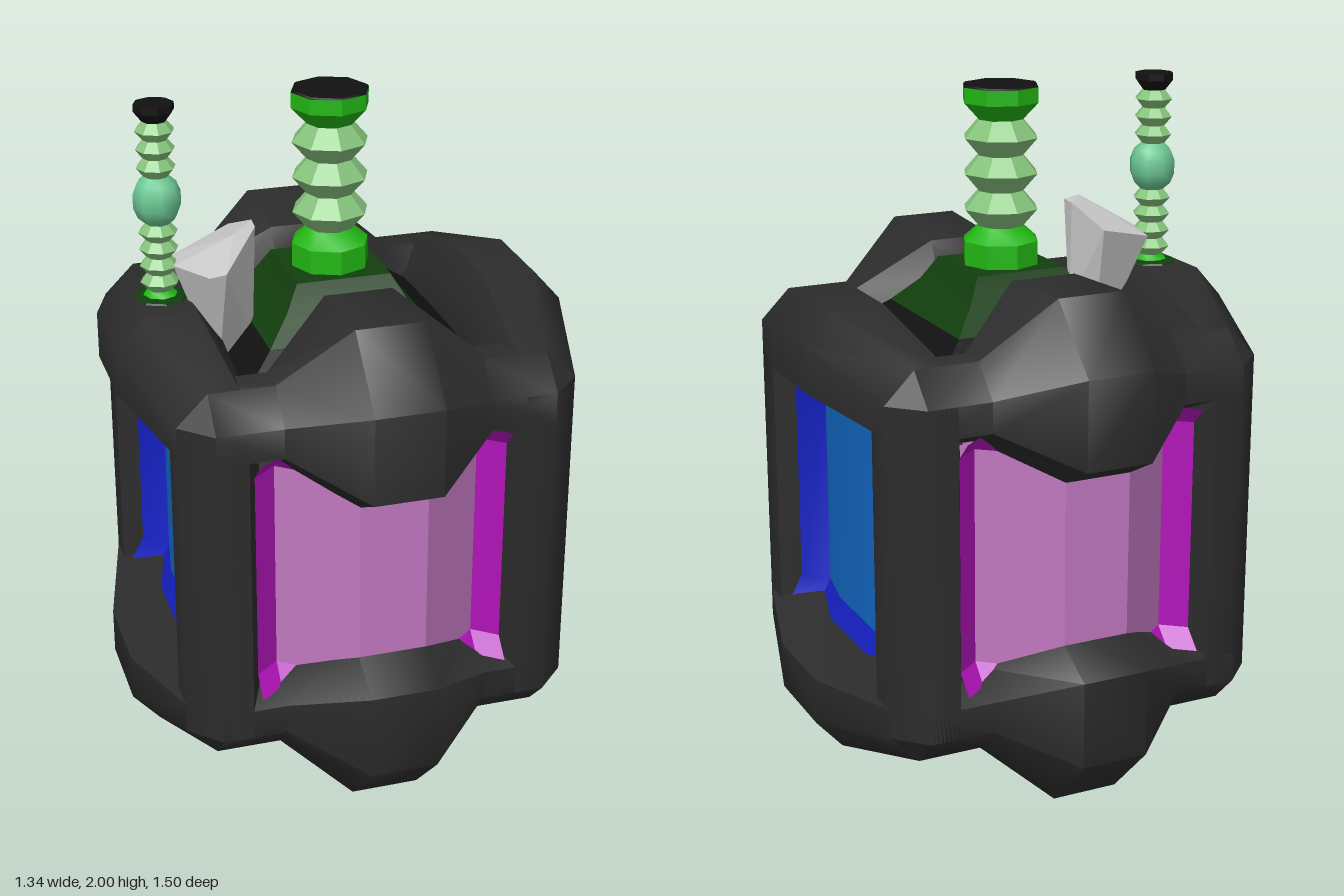
import * as THREE from 'three';
import { toCreasedNormals } from 'three/addons/utils/BufferGeometryUtils.js';
import { ConvexGeometry } from 'three/addons/geometries/ConvexGeometry.js';

const CY = 0.755; // height of the body's centre
const mat = (color, extra = {}) => new THREE.MeshStandardMaterial({ color, ...extra });
const DARK = mat(0x2c2c2c), BLACK = mat(0x111111), GREY = mat(0xcccccc);
const GREEN = mat(0x22b814), PALE = mat(0x86c47c), MOSS = mat(0x123f0e);

function add(parent, name, geometry, material, crease = 0.6) {
  const mesh = new THREE.Mesh(toCreasedNormals(geometry, crease), material);
  mesh.name = name;
  parent.add(mesh);
  return mesh;
}

// Closed solid through a row of cross-sections, turned outward whatever the mirroring
function loft(sections) {
  const n = sections[0].length, pts = sections.flat(), idx = [];
  for (let s = 0; s < sections.length - 1; s++) {
    for (let i = 0; i < n; i++) {
      const a = s * n + i, b = s * n + (i + 1) % n;
      idx.push(a, b, a + n, b, b + n, a + n);
    }
  }
  const end = (sections.length - 1) * n;
  for (let i = 1; i < n - 1; i++) idx.push(0, i + 1, i, end, end + i, end + i + 1);
  const v = pts.map((p) => new THREE.Vector3(...p));
  let volume = 0;
  for (let i = 0; i < idx.length; i += 3) {
    volume += v[idx[i]].dot(v[idx[i + 1]].clone().cross(v[idx[i + 2]]));
  }
  if (volume < 0) idx.reverse();
  const g = new THREE.BufferGeometry();
  g.setAttribute('position', new THREE.Float32BufferAttribute(pts.flat(), 3));
  g.setIndex(idx);
  return g;
}

// Bar cross-sections, measured outward from the body's centre
const SLIM = [[0.45, 0.34], [0.58, 0.4], [0.58, 0.49], [0.49, 0.58], [0.4, 0.58], [0.34, 0.45], [0.35, 0.35]];
const BUMPER = [[0.58, 0.22], [0.75, 0.31], [0.75, 0.57], [0.57, 0.752], [0.28, 0.735], [0.23, 0.62], [0.35, 0.3]];
const SIDE = [[0.5, 0.38], [0.67, 0.44], [0.67, 0.58], [0.59, 0.67], [0.43, 0.67], [0.36, 0.57], [0.38, 0.38]];

function buildFrame(body) {
  const bar = (name, sections) => add(body, name, loft(sections), DARK, 0.82);
  for (const s of [1, -1]) {
    for (const t of [1, -1]) {
      const alongX = (sec, x) => sec.map(([a, b]) => [x, t * b, s * a]);
      const alongZ = (sec, z) => sec.map(([a, b]) => [s * a, t * b, z]);
      const alongY = (sec, y) => sec.map(([a, b]) => [s * a, y, t * b]);
      bar('bumperBar', [
        alongX(SLIM, -0.49), alongX(SLIM, -0.3), alongX(BUMPER, -0.1),
        alongX(BUMPER, 0.1), alongX(SLIM, 0.3), alongX(SLIM, 0.49)]);
      bar('sideBar', [
        alongZ(SLIM, -0.49), alongZ(SIDE, -0.14), alongZ(SIDE, 0.14), alongZ(SLIM, 0.49)]);
      bar('cornerPost', [alongY(SLIM, -0.49), alongY(SLIM, 0.49)]);
      // Chamfered block closing each corner of the frame
      for (const u of [1, -1]) {
        const corner = [[0.58, 0.49, 0.49], [0.49, 0.58, 0.49], [0.49, 0.49, 0.58], [0.36, 0.36, 0.36]];
        add(body, 'cornerBlock', new ConvexGeometry(
          corner.map(([x, y, z]) => new THREE.Vector3(x * s, y * t, z * u))), DARK);
      }
    }
  }
}

// Upright sheet bent through columns of [across, depth], its top and bottom edges flared outward
function sheet(cols, heights, flare) {
  const g = new THREE.PlaneGeometry(1, 1, cols.length - 1, heights.length - 1);
  const p = g.attributes.position;
  for (let i = 0; i < p.count; i++) {
    const [u, d] = cols[i % cols.length];
    const v = heights[Math.floor(i / cols.length)];
    p.setXYZ(i, u, v, d + (Math.abs(v) > 0.35 ? flare : 0));
  }
  return g;
}

// Window with a bowed middle and a brighter raised rim
function panel(name, [edge, inner, mid], midX, flare, top, colors) {
  const group = new THREE.Group();
  group.name = name;
  const [centre, rim] = colors.map((c) => mat(c, { side: THREE.DoubleSide }));
  const cols = [[-0.3, inner], [-midX, mid], [midX, mid], [0.3, inner]];
  add(group, 'panelCentre', sheet(cols, [0.32, -0.32], 0), centre);
  for (const s of [1, -1]) {
    add(group, 'panelEndRim', sheet(cols, s > 0 ? [top, 0.32] : [-0.32, -top], flare), rim);
    const side = [[s * 0.3, inner], [s * 0.37, edge]];
    add(group, 'panelSideRim', sheet(s > 0 ? side : side.reverse(), [top, 0.32, -0.32, -top], flare), rim);
  }
  return group;
}

// Four-sided sloped mound from [half width, height] steps
function mound(steps) {
  const g = new THREE.LatheGeometry(steps.map(([w, y]) => new THREE.Vector2(w * Math.SQRT2, y)), 4);
  return g.rotateY(Math.PI / 4);
}

const lathe = (points) => new THREE.LatheGeometry(points.map(([r, y]) => new THREE.Vector2(r, y)), 8);

// Zigzag profile of a bellows: count folds between two heights
function folds(y0, y1, count, rIn, rOut) {
  const pts = [];
  for (let i = 0; i <= count * 2; i++) {
    pts.push([i % 2 ? rOut : rIn, y0 + (y1 - y0) * i / (count * 2)]);
  }
  return pts;
}

export function createModel() {
  const model = new THREE.Group();
  model.name = 'model';
  const body = new THREE.Group();
  body.name = 'body';
  body.position.y = CY;
  model.add(body);
  buildFrame(body);

  // Windows on the four upright faces
  for (let i = 0; i < 4; i++) {
    const p = i % 2
      ? panel('sidePanel', [0.52, 0.45, 0.48], 0.14, 0.04, 0.4, [0x1268c4, 0x1420c0])
      : panel(i ? 'backPanel' : 'frontPanel', [0.515, 0.46, 0.625], 0.1, 0.055, 0.375, [0xc078c0, 0xb014b8]);
    p.rotation.y = i * Math.PI / 2;
    body.add(p);
  }

  // Sloped mounds in the top and bottom openings
  add(body, 'topFloor', mound([[0.44, 0.42], [0.34, 0.5], [0.25, 0.575]]), BLACK);
  add(body, 'topMound', mound([[0.25, 0.575], [0.18, 0.65], [0.14, 0.72], [0, 0.72]]), MOSS);
  const under = add(body, 'bottomFloor', mound([[0.4, 0.42], [0.37, 0.55], [0.2, 0.53]]), mat(0x9018d0));
  const foot = add(body, 'bottomFoot', mound([[0.2, 0.52], [0.18, 0.65], [0.14, 0.72], [0, 0.72]]), GREY);
  under.rotation.x = foot.rotation.x = Math.PI;

  // Central bellows stalk
  const stalk = new THREE.Group();
  stalk.name = 'stalk';
  model.add(stalk);
  add(stalk, 'stalkBase', lathe([[0.115, 1.46], [0.115, 1.545], [0.068, 1.587]]), GREEN);
  add(stalk, 'stalkBellows', lathe(folds(1.587, 1.9, 3, 0.068, 0.113)), PALE);
  add(stalk, 'stalkHead', lathe([[0.068, 1.9], [0.115, 1.95], [0.115, 1.995]]), GREEN);
  add(stalk, 'stalkCap', lathe([[0.115, 1.995], [0.11, 2], [0, 2]]), BLACK);

  // Thin antenna with a bulb, on the model's right
  const antenna = new THREE.Group();
  antenna.name = 'antenna';
  antenna.position.x = -0.507;
  model.add(antenna);
  add(antenna, 'antennaFoot', lathe([[0.085, 1.41], [0.075, 1.43], [0.05, 1.435]]), MOSS);
  add(antenna, 'antennaBase', lathe([[0.05, 1.4], [0.05, 1.435], [0.035, 1.45]]), GREEN);
  add(antenna, 'antennaLowerFolds', lathe(folds(1.45, 1.65, 4, 0.035, 0.057)), PALE);
  add(antenna, 'antennaBulb', lathe([[0.035, 1.65], [0.057, 1.67], [0.069, 1.70], [0.069, 1.74],
    [0.057, 1.77], [0.035, 1.79]]), mat(0x6cc894), 1);
  add(antenna, 'antennaUpperFolds', lathe(folds(1.79, 1.95, 3, 0.035, 0.057)), PALE);
  add(antenna, 'antennaCap', lathe([[0.035, 1.95], [0.058, 1.98], [0.058, 2], [0, 2]]), BLACK);

  // Faceted shard leaning out of the top opening
  const shard = [[-0.27, 1.57, -0.14], [-0.235, 1.63, 0], [-0.24, 1.63, 0.06], [-0.31, 1.63, 0.1],
    [-0.37, 1.57, 0.245], [-0.41, 1.55, 0.21], [-0.475, 1.53, 0.04], [-0.46, 1.52, -0.065],
    [-0.24, 1.3, 0.02], [-0.36, 1.2, 0.08], [-0.3, 1.15, -0.02]];
  add(model, 'shard', new ConvexGeometry(shard.map((p) => new THREE.Vector3(...p))), GREY, 0.1);
  return model;
}
